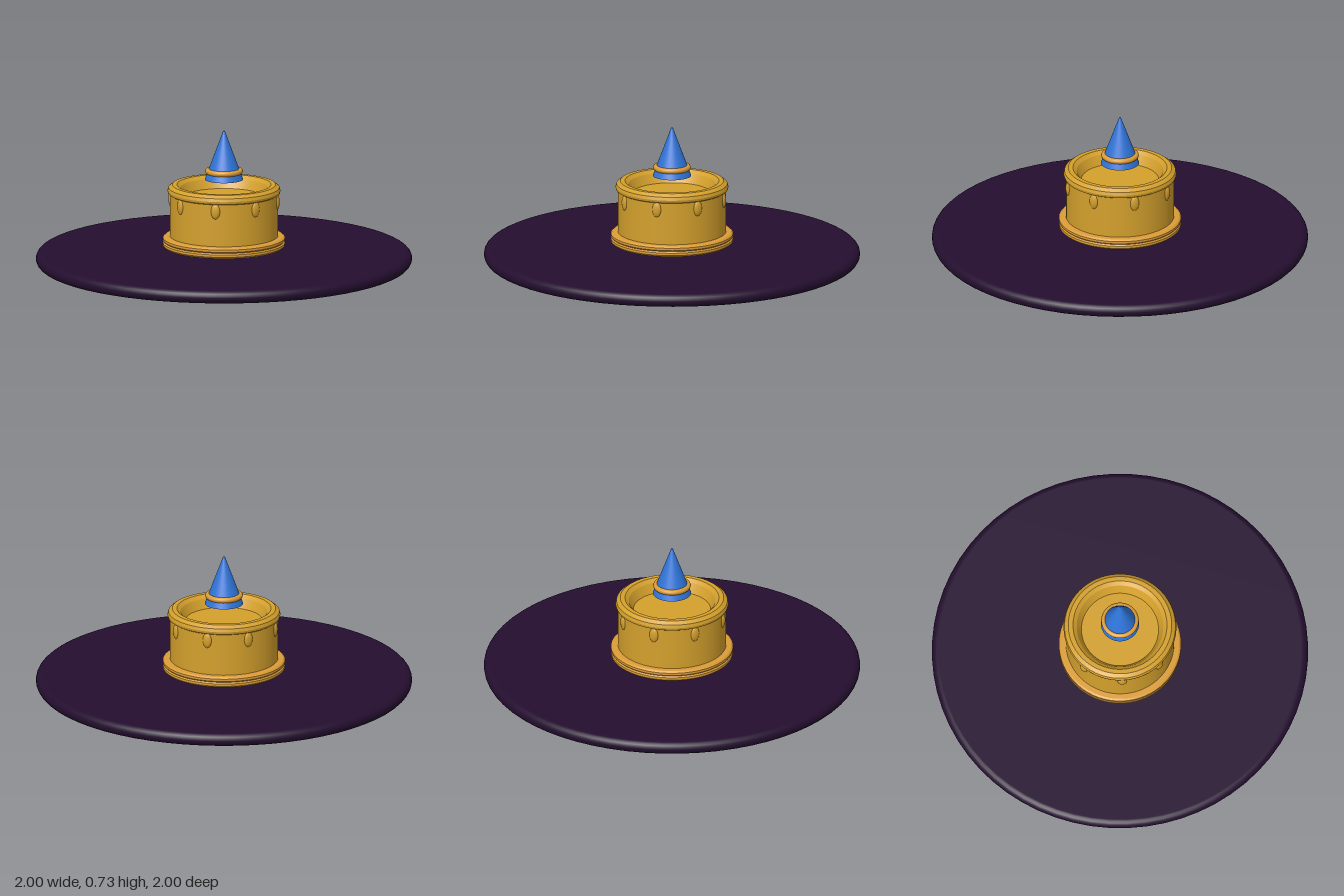
import * as THREE from 'three';

const material = (name, color) => {
  const m = new THREE.MeshStandardMaterial({ color });
  m.name = name;
  return m;
};

// Lathe from [radius, height] points listed bottom to top; sharp corners are kept by doubling points.
function lathe(points, sharp = true) {
  const pts = [];
  points.forEach(([r, y], i) => {
    pts.push(new THREE.Vector2(r, y));
    if (sharp && i > 0 && i < points.length - 1) pts.push(new THREE.Vector2(r, y));
  });
  return new THREE.LatheGeometry(pts, 64);
}

export function createModel() {
  const group = new THREE.Group();
  const purple = material('dark purple', 0x240e2f);
  const gold = material('gold', 0xd4a02c);
  const amber = material('amber trim', 0xdb9c36);
  const blue = material('blue', 0x2f74d8);

  const add = (name, geometry, mat, parent = group) => {
    const mesh = new THREE.Mesh(geometry, mat);
    mesh.name = name;
    parent.add(mesh);
    return mesh;
  };

  // Wide brim with a half-round edge
  const brim = [[0, 0]];
  for (let i = 0; i <= 10; i++) {
    const a = -Math.PI / 2 + (i / 10) * Math.PI;
    brim.push([0.965 + 0.035 * Math.cos(a), 0.035 + 0.035 * Math.sin(a)]);
  }
  brim.push([0, 0.07]);
  add('brim', lathe(brim, false), purple);

  // Hollow-topped drum floating just above the brim
  add('drum', lathe([
    [0, 0.105], [0.288, 0.105], [0.288, 0.4], [0.25, 0.432],
    [0.215, 0.39], [0.205, 0.37], [0, 0.37],
  ]), gold);

  // Stepped foot ring
  add('footRing', lathe([
    [0.29, 0.1], [0.315, 0.1], [0.325, 0.11], [0.325, 0.123], [0.318, 0.13],
    [0.325, 0.137], [0.325, 0.15], [0.315, 0.158], [0.285, 0.16],
  ]), amber);

  // Rounded top rim
  add('topRim', lathe([
    [0.285, 0.385], [0.297, 0.392], [0.3, 0.405], [0.295, 0.422],
    [0.275, 0.437], [0.25, 0.437], [0.23, 0.42], [0.215, 0.39],
  ]), gold);

  // Eight drops hanging below the rim
  const drops = new THREE.Group();
  drops.name = 'drops';
  group.add(drops);
  const dropGeometry = new THREE.SphereGeometry(1, 16, 12);
  for (let i = 0; i < 8; i++) {
    const a = (i * Math.PI) / 4;
    const drop = add('drop', dropGeometry, gold, drops);
    drop.scale.set(0.025, 0.042, 0.014);
    drop.position.set(0.285 * Math.sin(a), 0.35, 0.285 * Math.cos(a));
    drop.rotation.y = a;
  }

  // Floating spike with its collar
  add('spike', lathe([[0, 0.465], [0.102, 0.465], [0.005, 0.727], [0, 0.73]]), blue);
  const collar = add('spikeCollar', new THREE.TorusGeometry(0.085, 0.015, 12, 48), amber);
  collar.rotation.x = Math.PI / 2;
  collar.position.y = 0.51;

  return group;
}
